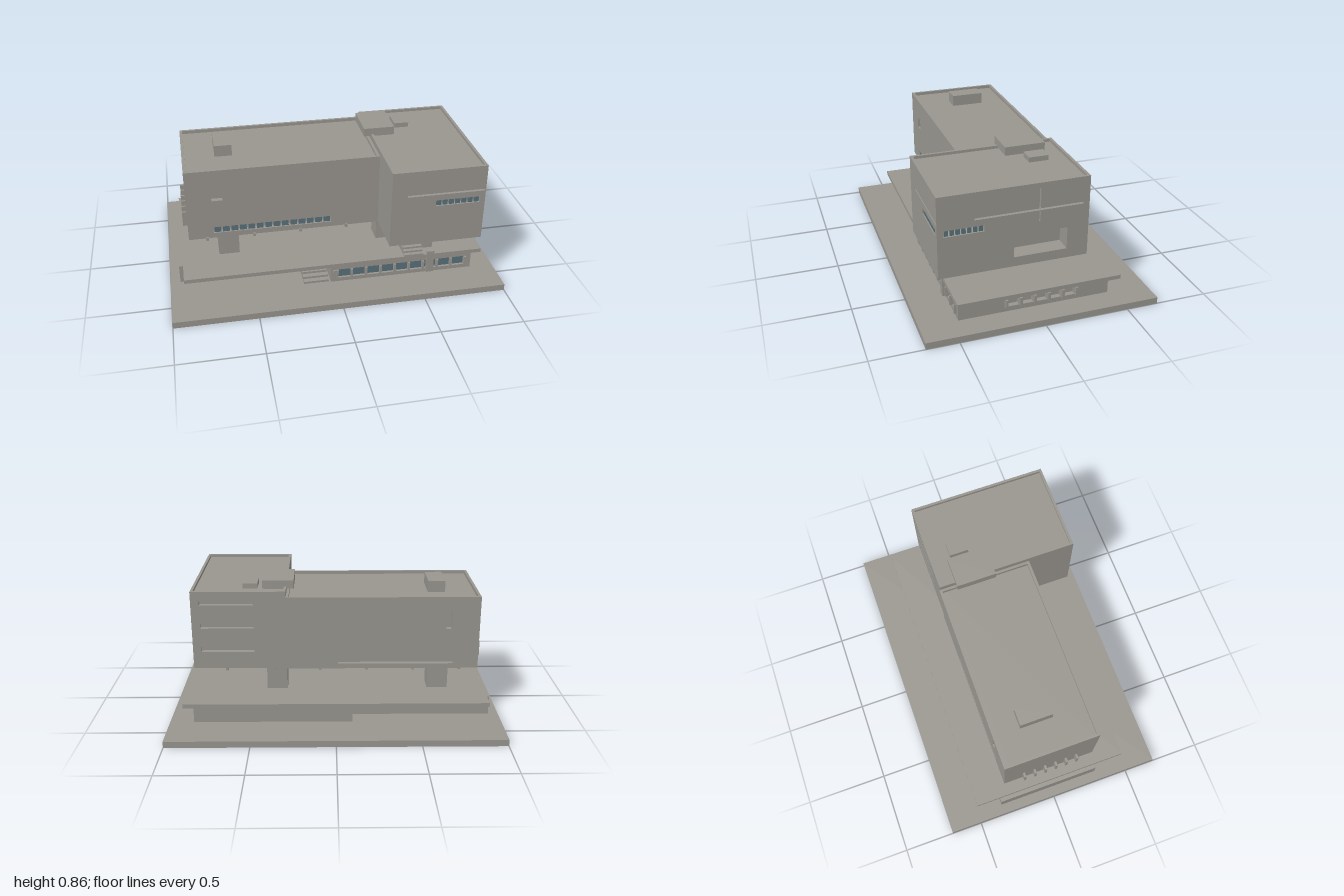
import * as THREE from 'three';

const concrete = new THREE.MeshStandardMaterial({ color: 0x99968f });
concrete.name = 'concrete';
const glass = new THREE.MeshStandardMaterial({ color: 0x5a717b });
glass.name = 'glass';

export function createModel() {
  const root = new THREE.Group();
  root.name = 'building';

  // Box given by its limits on each axis
  function box(name, x0, x1, y0, y1, z0, z1, mat = concrete) {
    const m = new THREE.Mesh(new THREE.BoxGeometry(x1 - x0, y1 - y0, z1 - z0), mat);
    m.position.set((x0 + x1) / 2, (y0 + y1) / 2, (z0 + z1) / 2);
    m.name = name;
    root.add(m);
    return m;
  }

  function rect(target, a, b, c, d) {
    target.moveTo(a, c);
    target.lineTo(b, c);
    target.lineTo(b, d);
    target.lineTo(a, d);
    target.closePath();
    return target;
  }

  // Upright wall with rectangular openings [u0, u1, y0, y1]; u is world x or z
  const faces = { front: [0, 1], right: [Math.PI / 2, -1], back: [Math.PI, -1], left: [-Math.PI / 2, 1] };
  function wall(name, face, plane, u0, u1, y0, y1, depth, openings) {
    const [turn, sign] = faces[face];
    const span = (a, b) => (sign > 0 ? [a, b] : [-b, -a]);
    const shape = rect(new THREE.Shape(), ...span(u0, u1), y0, y1);
    for (const [a, b, c, d] of openings) shape.holes.push(rect(new THREE.Path(), ...span(a, b), c, d));
    const geo = new THREE.ExtrudeGeometry(shape, { depth, bevelEnabled: false });
    geo.translate(0, 0, -depth);
    const m = new THREE.Mesh(geo, concrete);
    m.rotation.y = turn;
    if (face === 'front' || face === 'back') m.position.z = plane;
    else m.position.x = plane;
    m.name = name;
    root.add(m);
  }

  // Raised rim around a flat roof
  function parapet(name, x0, x1, z0, z1, y0, y1, t = 0.016) {
    box(name, x0, x1, y0, y1, z0, z0 + t);
    box(name, x0, x1, y0, y1, z1 - t, z1);
    box(name, x0, x0 + t, y0, y1, z0 + t, z1 - t);
    box(name, x1 - t, x1, y0, y1, z0 + t, z1 - t);
  }

  // Row of panes with gaps, along x at fixed z or along z at fixed x
  function panes(name, axis, plane, u0, u1, y0, y1, count, gap) {
    const step = (u1 - u0) / count;
    for (let i = 0; i < count; i++) {
      const a = u0 + i * step + gap / 2, b = a + step - gap;
      if (axis === 'x') box(name, a, b, y0, y1, plane - 0.008, plane, glass);
      else box(name, plane - 0.008, plane, y0, y1, a, b, glass);
    }
  }

  // Solid stairs climbing towards -z
  function stairs(name, x0, x1, y0, y1, zFront, zBack, count) {
    for (let i = 0; i < count; i++) {
      const a = zFront + (zBack - zFront) * i / count;
      const b = zFront + (zBack - zFront) * (i + 1) / count;
      box(name, x0, x1, y0, y0 + (y1 - y0) * (i + 1) / count, b, a);
    }
  }

  // Ground and podium
  box('groundSlab', -1, 1, 0, 0.04, -0.69, 0.69);
  box('podiumWing', -0.94, -0.1, 0.04, 0.155, -0.34, 0.3);
  box('podiumRear', -0.1, 0.825, 0.04, 0.155, -0.44, 0.1);
  box('podiumFront', -0.035, 0.825, 0.04, 0.155, 0.1, 0.44);
  wall('podiumFrontWall', 'front', 0.467, -0.035, 0.855, 0.04, 0.155, 0.027, [[0.005, 0.815, 0.065, 0.125]]);
  wall('podiumSideWall', 'right', 0.855, -0.44, 0.44, 0.04, 0.155, 0.03, [[-0.245, 0.195, 0.07, 0.125]]);
  box('terraceSlab', -0.915, 0.91, 0.155, 0.18, -0.49, 0.485);
  stairs('podiumStep', -0.2, -0.045, 0.04, 0.11, 0.46, 0.3, 5);

  // Podium windows and fins
  panes('podiumWindow', 'x', 0.455, 0.005, 0.815, 0.067, 0.123, 9, 0.012);
  for (let i = 0; i <= 9; i++) {
    const x = 0.005 + i * 0.09;
    box('podiumFrontFin', x - 0.006, x + 0.006, 0.065, 0.125, 0.44, 0.48);
  }
  box('podiumEndFin', -0.02, -0.006, 0.068, 0.125, 0.465, 0.48);
  for (let i = 0; i < 6; i++) {
    const z = -0.237 + i * 0.0848;
    box('podiumSideFin', 0.825, 0.878, 0.07, 0.125, z - 0.007, z + 0.007);
  }
  box('frontPost', 0.563, 0.608, 0.05, 0.2, 0.467, 0.488);

  // Columns, joists and main stairs
  for (const x of [-0.6275, 0.3575]) {
    for (const z of [-0.1975, 0.1925]) {
      box('column', x - 0.0625, x + 0.0625, 0.18, 0.335, z - 0.0575, z + 0.0575);
    }
  }
  box('stairColumn', 0.553, 0.617, 0.18, 0.335, 0.315, 0.41);
  for (let i = 0; i < 6; i++) {
    const x = -0.755 + i * 0.283;
    box('joist', x - 0.008, x + 0.008, 0.315, 0.335, -0.29, 0.295);
  }
  stairs('stairStep', 0.418, 0.538, 0.18, 0.33, 0.488, 0.21, 12);

  // Long main volume
  const strip = [-0.715, 0.0, 0.36, 0.4];
  box('mainCore', -0.865, 0.295, 0.327, 0.76, -0.265, 0.255);
  wall('mainFrontWall', 'front', 0.285, -0.865, 0.295, 0.327, 0.76, 0.03, [strip, [-0.715, -0.65, 0.58, 0.65]]);
  wall('mainBackWall', 'back', -0.295, -0.865, 0.295, 0.327, 0.76, 0.03,
    [[-0.715, -0.015, 0.357, 0.385], [-0.695, -0.665, 0.58, 0.695]]);
  parapet('mainParapet', -0.865, 0.295, -0.295, 0.285, 0.76, 0.78);
  panes('mainWindow', 'x', 0.28, -0.715, 0, 0.362, 0.398, 14, 0.011);
  for (let i = 0; i < 6; i++) {
    const z = -0.17 + i * 0.067;
    box('endFin', -0.893, -0.865, 0.36, 0.455, z - 0.006, z + 0.006);
  }

  // Tall cross volume
  box('towerCore', 0.295, 0.76, 0.33, 0.798, -0.26, 0.545);
  wall('towerFrontWall', 'front', 0.575, 0.295, 0.86, 0.33, 0.798, 0.03,
    [[0.39, 0.857, 0.652, 0.663], [0.562, 0.828, 0.578, 0.615]]);
  wall('towerBackWall', 'back', -0.29, 0.295, 0.86, 0.33, 0.798, 0.03,
    [0.745, 0.6, 0.45].map((y) => [0.49, 0.81, y - 0.015, y + 0.015]));
  wall('towerSideWall', 'right', 0.86, -0.26, 0.545, 0.33, 0.798, 0.1, [
    [-0.255, 0.37, 0.652, 0.663],
    [-0.165, 0.145, 0.387, 0.52],
    [0.315, 0.54, 0.578, 0.615],
    [-0.004, 0.004, 0.666, 0.785],
    [-0.004, 0.004, 0.59, 0.649]]);
  parapet('towerParapet', 0.295, 0.86, -0.29, 0.575, 0.798, 0.815);
  panes('towerFrontWindow', 'x', 0.57, 0.562, 0.828, 0.58, 0.613, 7, 0.009);
  panes('towerSideWindow', 'z', 0.855, 0.315, 0.54, 0.58, 0.613, 7, 0.009);

  // Rooftop units
  box('roofUnitLeft', -0.67, -0.565, 0.76, 0.83, -0.13, 0.07);
  box('roofUnitLarge', 0.25, 0.44, 0.805, 0.855, -0.19, 0.053);
  box('roofUnitLargeBase', 0.3, 0.43, 0.79, 0.805, -0.18, 0.043);
  box('roofUnitSmall', 0.47, 0.56, 0.79, 0.828, -0.165, -0.048);
  return root;
}
